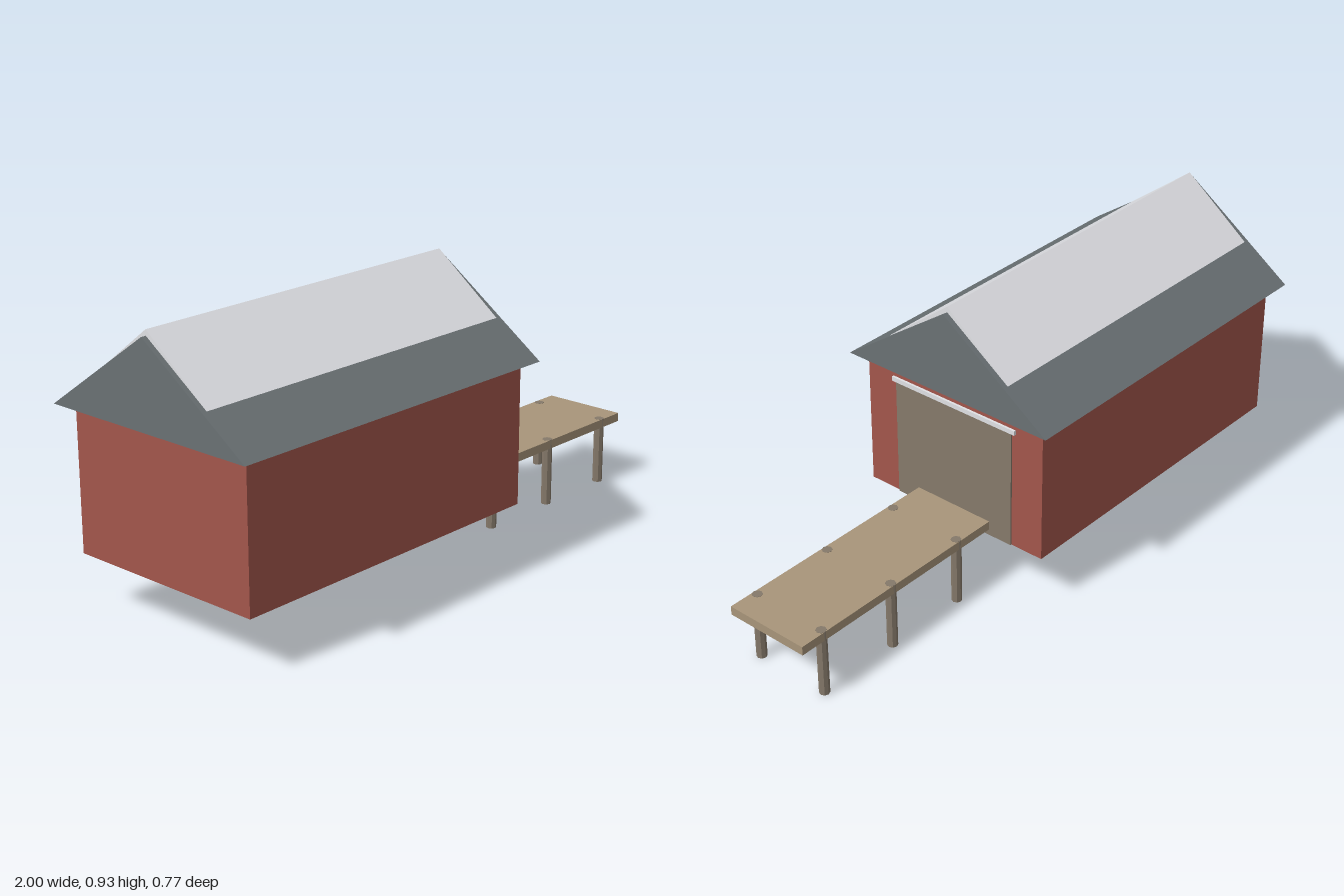
import * as THREE from 'three';

const material = (name, color, extra = {}) => {
  const m = new THREE.MeshStandardMaterial({ color, flatShading: true, ...extra });
  m.name = name;
  return m;
};

export function createModel() {
  const group = new THREE.Group();
  const red = material('barn red', 0xa3564b);
  const slate = material('slate grey', 0x6a7174, { side: THREE.DoubleSide });
  const snowWhite = material('snow white', 0xe0e1e5);
  const doorWood = material('weathered wood', 0x85796a);
  const deckWood = material('deck wood', 0xa8957a);

  const add = (name, geometry, mat) => {
    const mesh = new THREE.Mesh(geometry, mat);
    mesh.name = name;
    group.add(mesh);
    return mesh;
  };
  // Box given by its limits on each axis
  const box = (name, mat, [x0, x1], [y0, y1], [z0, z1]) => {
    const mesh = add(name, new THREE.BoxGeometry(x1 - x0, y1 - y0, z1 - z0), mat);
    mesh.position.set((x0 + x1) / 2, (y0 + y1) / 2, (z0 + z1) / 2);
  };
  // Triangular prism along x; an open one has no underside
  const prism = (name, mat, x0, x1, halfWidth, base, ridge, open) => {
    const [a, b, c] = [[base, halfWidth], [ridge, 0], [base, -halfWidth]];
    const l = [a, b, c].map(p => [x0, ...p]);
    const r = [a, b, c].map(p => [x1, ...p]);
    const tris = [
      l[0], r[0], r[1], l[0], r[1], l[1], // front slope
      l[1], r[1], r[2], l[1], r[2], l[2], // back slope
      r[0], r[2], r[1], l[0], l[1], l[2], // gables
    ];
    if (!open) tris.push(l[0], l[2], r[2], l[0], r[2], r[0]);
    const g = new THREE.BufferGeometry();
    g.setAttribute('position', new THREE.Float32BufferAttribute(tris.flat(), 3));
    g.computeVertexNormals();
    add(name, g, mat);
  };

  // Boathouse
  box('walls', red, [-0.955, 0.195], [0.176, 0.636], [-0.345, 0.345]);
  prism('roof', slate, -1, 0.235, 0.387, 0.635, 0.907, true);
  prism('roofSnow', snowWhite, -0.983, 0.217, 0.231, 0.746, 0.925, false);

  // Sliding door and its rail on the right gable wall
  box('door', doorWood, [0.193, 0.2], [0.176, 0.576], [-0.229, 0.229]);
  box('doorRail', snowWhite, [0.193, 0.203], [0.576, 0.591], [-0.243, 0.243]);

  // Jetty
  box('deck', deckWood, [0.195, 1], [0.196, 0.225], [-0.144, 0.144]);
  for (const x of [0.335, 0.623, 0.91]) {
    for (const z of [-0.129, 0.129]) {
      const post = add('jettyPost', new THREE.CylinderGeometry(0.0165, 0.0165, 0.226, 8), doorWood);
      post.position.set(x, 0.113, z);
    }
  }
  return group;
}
